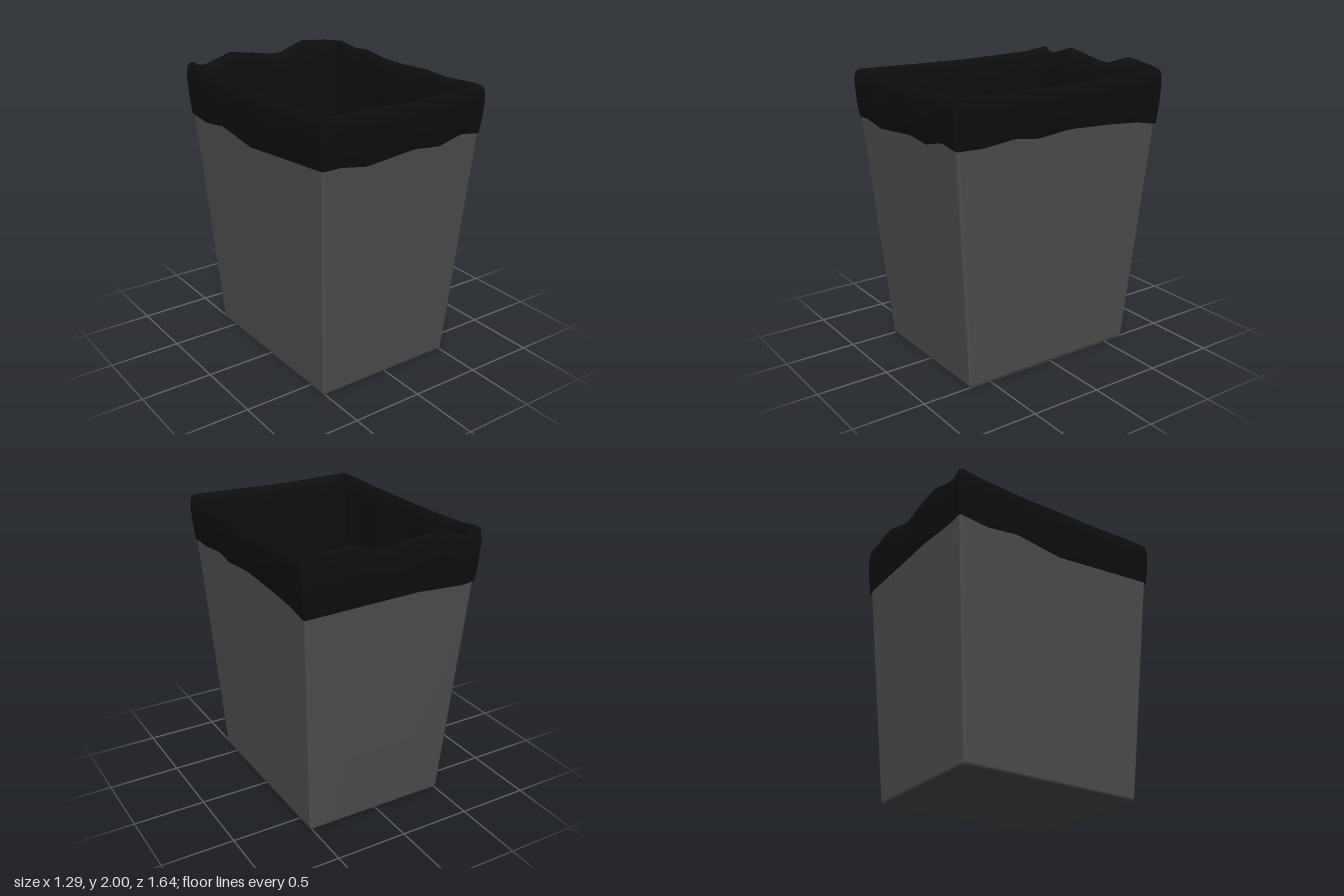
import * as THREE from 'three';

// Rounded-rectangle ring, walked front, right side, back, left side.
// s = place on the unit square, n = outward direction, side and u = place along that side.
function makeRing(steps, arc) {
  const ring = [];
  for (let side = 0; side < 4; side++) {
    const a = side * Math.PI / 2;
    const turn = (x, z) => [x * Math.cos(a) + z * Math.sin(a), z * Math.cos(a) - x * Math.sin(a)];
    for (let i = 0; i <= steps; i++) {
      const u = -1 + 2 * i / steps;
      ring.push({ s: turn(u, 1), n: turn(0, 1), side, u });
    }
    for (let i = 1; i < arc; i++) {
      const b = i / arc * Math.PI / 2;
      ring.push({ s: turn(1, 1), n: turn(Math.sin(b), Math.cos(b)), side, u: 1 });
    }
  }
  return ring;
}

// Skin between successive rings; place(point, row) gives each vertex.
function loft(ring, rows, place) {
  const pos = [], idx = [], n = ring.length;
  rows.forEach((row, j) => ring.forEach((p) => pos.push(...place(p, row, j))));
  for (let j = 0; j < rows.length - 1; j++) {
    for (let i = 0; i < n; i++) {
      const a = j * n + i, b = j * n + (i + 1) % n;
      idx.push(a, b, b + n, a, b + n, a + n);
    }
  }
  const g = new THREE.BufferGeometry();
  g.setAttribute('position', new THREE.Float32BufferAttribute(pos, 3));
  g.setIndex(idx);
  g.computeVertexNormals();
  return g;
}

const onRing = (p, hx, hz, r) => [p.s[0] * (hx - r) + p.n[0] * r, p.s[1] * (hz - r) + p.n[1] * r];

// Piecewise-linear height along one side
function heightAt(table, u) {
  for (let i = 1; i < table.length; i++) {
    const [u0, y0] = table[i - 1], [u1, y1] = table[i];
    if (u <= u1 + 1e-6) return y0 + (y1 - y0) * (u - u0) / (u1 - u0);
  }
  return table[table.length - 1][1];
}

// Liner top edge: front, right side, back, left side
const TOP = [
  [[-1, 1.945], [-0.5, 1.94], [0, 1.935], [0.5, 1.945], [1, 1.95]],
  [[-1, 1.95], [-0.8, 1.945], [-0.58, 1.935], [-0.35, 1.945], [-0.06, 1.935], [0.25, 1.94], [0.52, 1.965], [0.67, 1.95], [0.9, 1.975], [1, 1.965]],
  [[-1, 1.965], [-0.88, 1.978], [-0.53, 2], [-0.2, 1.935], [-0.08, 1.935], [0.5, 1.99], [0.83, 1.93], [0.92, 1.93], [1, 1.96]],
  [[-1, 1.96], [-0.8, 1.94], [0, 1.93], [0.6, 1.94], [1, 1.945]],
];
// Liner lower hem, same order
const HEM = [
  [[-1, 1.625], [-0.8, 1.625], [-0.5, 1.595], [0.13, 1.63], [0.45, 1.61], [0.75, 1.655], [1, 1.635]],
  [[-1, 1.635], [-0.78, 1.63], [-0.48, 1.655], [-0.28, 1.63], [0.06, 1.655], [0.5, 1.64], [0.8, 1.62], [1, 1.59]],
  [[-1, 1.59], [-0.4, 1.6], [0.3, 1.61], [0.85, 1.59], [1, 1.6]],
  [[-1, 1.6], [-0.75, 1.58], [-0.45, 1.61], [0, 1.56], [0.45, 1.59], [1, 1.625]],
];

export function createModel() {
  const group = new THREE.Group();

  // Tapered bin: underside, bevelled foot, outer wall, rim, inner wall, inner floor
  const binRows = [
    [0, 0, 0, 0], [0.5, 0.645, 0, 0.01], [0.509, 0.654, 0.004, 0.015], [0.515, 0.66, 0.02, 0.02],
    [0.613, 0.792, 1.62, 0.02], [0.625, 0.807, 1.82, 0.02], [0.605, 0.787, 1.82, 0.015],
    [0.495, 0.64, 0.035, 0.015], [0, 0, 0.035, 0],
  ];
  const bin = new THREE.Mesh(
    loft(makeRing(4, 4), binRows, (p, [hx, hz, y, r]) => {
      const [x, z] = onRing(p, hx, hz, r);
      return [x, y, z];
    }),
    new THREE.MeshStandardMaterial({ color: 0x505050 }),
  );
  bin.name = 'bin';

  // Liner: [half width, half depth, share of hem-to-top height or null, fixed height, wobble]
  const linerRows = [
    [0.621, 0.799, 0, 0, 0], [0.632, 0.812, 0.35, 0, 0.003], [0.639, 0.818, 0.75, 0, 0.004],
    [0.631, 0.811, 0.95, 0, 0.004], [0.615, 0.795, 1, 0, 0.004], [0.598, 0.77, 0.98, 0, 0.006],
    [0.582, 0.745, 0.85, 0, 0.008], [0.57, 0.725, 0.55, 0, 0.01], [0.555, 0.705, null, 1.45, 0.012],
    [0.52, 0.665, null, 0.75, 0.012], [0.484, 0.622, null, 0.1, 0.012], [0.46, 0.6, null, 0.06, 0.01],
    [0, 0, null, 0.06, 0],
  ];
  const liner = new THREE.Mesh(
    loft(makeRing(40, 3), linerRows, (p, [hx, hz, share, fixed, wobble], j) => {
      const [x, z] = onRing(p, hx, hz, hx ? 0.018 : 0);
      const hem = heightAt(HEM[p.side], p.u), top = heightAt(TOP[p.side], p.u);
      const y = share === null ? fixed : hem + (top - hem) * share;
      // loose folds that fade out at the corners
      const w = wobble * Math.sin(p.u * 7 + p.side * 2.1 + j * 0.35) * (1 - p.u ** 4);
      return [x + p.n[0] * w, y, z + p.n[1] * w];
    }),
    new THREE.MeshStandardMaterial({ color: 0x0e0e0e, side: THREE.DoubleSide }),
  );
  liner.name = 'liner';

  group.add(bin, liner);
  return group;
}
